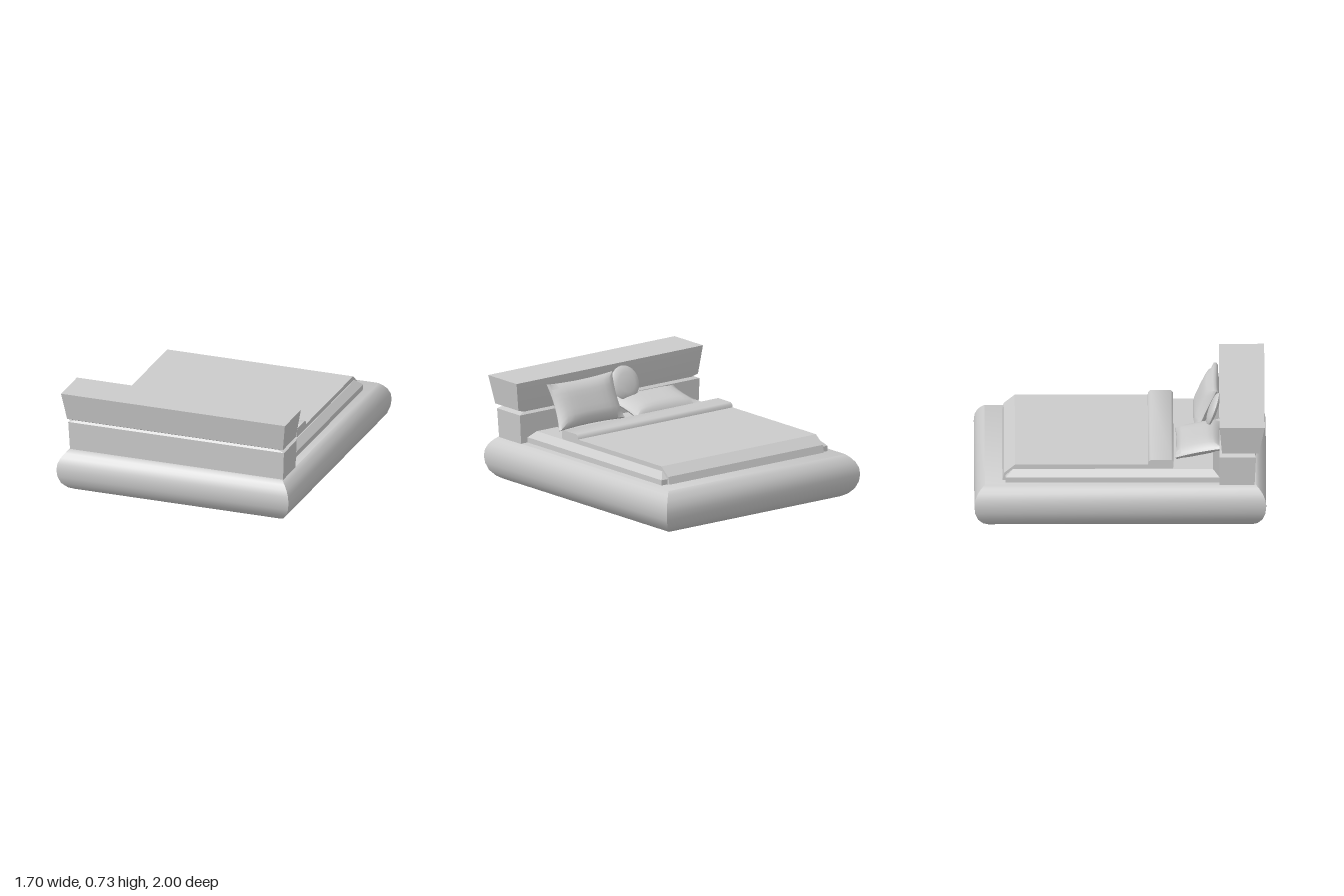
import * as THREE from 'three';
import { toCreasedNormals } from 'three/addons/utils/BufferGeometryUtils.js';

const material = new THREE.MeshStandardMaterial({ color: 0xcccccc });

function addPart(parent, name, geometry, crease = 0.6) {
  const mesh = new THREE.Mesh(toCreasedNormals(geometry, crease), material);
  mesh.name = name;
  parent.add(mesh);
  return mesh;
}

// Stack of rectangles, each [y, half width, z back, z front], closed at both ends
function rectLoft(layers) {
  const pos = [];
  const index = [];
  layers.forEach(([y, w, z0, z1]) => pos.push(-w, y, z1, w, y, z1, w, y, z0, -w, y, z0));
  for (let i = 0; i < layers.length - 1; i++) {
    for (let k = 0; k < 4; k++) {
      const a = i * 4 + k;
      const b = i * 4 + (k + 1) % 4;
      index.push(a, b, b + 4, a, b + 4, a + 4);
    }
  }
  const t = (layers.length - 1) * 4;
  index.push(0, 2, 1, 0, 3, 2, t, t + 1, t + 2, t, t + 2, t + 3);
  const geo = new THREE.BufferGeometry();
  geo.setAttribute('position', new THREE.Float32BufferAttribute(pos, 3));
  geo.setIndex(index);
  return geo;
}

// Side outline in (z, y), extruded across the bed's width
function sideExtrude(points, width) {
  const shape = new THREE.Shape(points.map(([z, y]) => new THREE.Vector2(-z, y)));
  const geo = new THREE.ExtrudeGeometry(shape, { depth: width, bevelEnabled: false });
  geo.translate(0, 0, -width / 2);
  geo.rotateY(Math.PI / 2);
  return geo;
}

// Box swollen in the middle, with edges drawn in between the corners
function pillowGeometry(width, thickness, depth) {
  const geo = new THREE.BoxGeometry(2, 2, 2, 10, 2, 8);
  const p = geo.attributes.position;
  for (let i = 0; i < p.count; i++) {
    const u = p.getX(i);
    const v = p.getZ(i);
    const s = p.getY(i);
    const swell = 0.28 + 0.72 * Math.pow((1 - u ** 4) * (1 - v ** 4), 0.7);
    const rim = 1 + 0.04 * (1 - s * s);
    p.setXYZ(i,
      u * width / 2 * (1 - 0.06 * (1 - v * v)) * rim,
      s * thickness / 2 * swell,
      v * depth / 2 * (1 - 0.07 * (1 - u * u)) * rim);
  }
  return geo;
}

export function createModel() {
  const bed = new THREE.Group();
  bed.name = 'bed';

  // Padded base with a rounded rim and mitred corners: [inset, y]
  const rim = [[0.095, 0], [0.06, 0.02], [0.025, 0.06], [0.006, 0.11], [0, 0.16],
    [0.005, 0.205], [0.022, 0.245], [0.046, 0.275], [0.072, 0.298]];
  addPart(bed, 'base', rectLoft(rim.map(([d, y]) => [y, 0.85 - d, -1 + d, 1 - d])), 0.75);

  // Headboard with a groove between its two cushions
  addPart(bed, 'headboard', rectLoft([
    [0.29, 0.78, 0.68, 0.92],
    [0.5, 0.79, 0.68, 0.93],
    [0.515, 0.74, 0.7, 0.92],
    [0.53, 0.79, 0.697, 0.95],
    [0.728, 0.82, 0.68, 0.99],
  ]), 0.2);

  const bedding = new THREE.Group();
  bedding.name = 'bedding';
  bedding.position.x = -0.007;
  bed.add(bedding);

  addPart(bedding, 'mattress', rectLoft([
    [0.29, 0.73, -0.785, 0.68],
    [0.335, 0.73, -0.785, 0.68],
    [0.38, 0.685, -0.735, 0.635],
  ]), 0.2);

  // Blanket draped over the foot of the mattress
  addPart(bedding, 'blanket', sideExtrude([
    [0.25, 0.378], [0.25, 0.412], [-0.72, 0.412], [-0.795, 0.352], [-0.808, 0.3],
    [-0.786, 0.3], [-0.78, 0.338], [-0.735, 0.378],
  ], 1.36), 0.2);

  // Turned-back top of the blanket
  addPart(bedding, 'blanketFold', sideExtrude([
    [0.36, 0.378], [0.365, 0.395], [0.365, 0.43], [0.35, 0.445],
    [0.21, 0.445], [0.195, 0.432], [0.19, 0.405], [0.19, 0.378],
  ], 1.36), 0.9);

  const pillows = new THREE.Group();
  pillows.name = 'pillows';
  bed.add(pillows);

  const flat = addPart(pillows, 'lyingPillow', pillowGeometry(0.55, 0.11, 0.31), 0.8);
  flat.position.set(-0.28, 0.447, 0.535);
  flat.rotation.x = -0.2;

  const leaning = addPart(pillows, 'leaningPillow', pillowGeometry(0.55, 0.115, 0.32), 0.8);
  leaning.position.set(0.285, 0.535, 0.59);
  leaning.rotation.x = -1.14;

  // Round cushion resting against the headboard
  const profile = [[0, -0.026], [0.07, -0.022], [0.11, -0.012], [0.12, 0],
    [0.11, 0.012], [0.07, 0.022], [0, 0.026]];
  const round = addPart(pillows, 'roundCushion',
    new THREE.LatheGeometry(profile.map(([r, y]) => new THREE.Vector2(r, y)), 24), 0.8);
  round.position.set(-0.1, 0.593, 0.637);
  round.rotation.x = -1.22;

  return bed;
}
